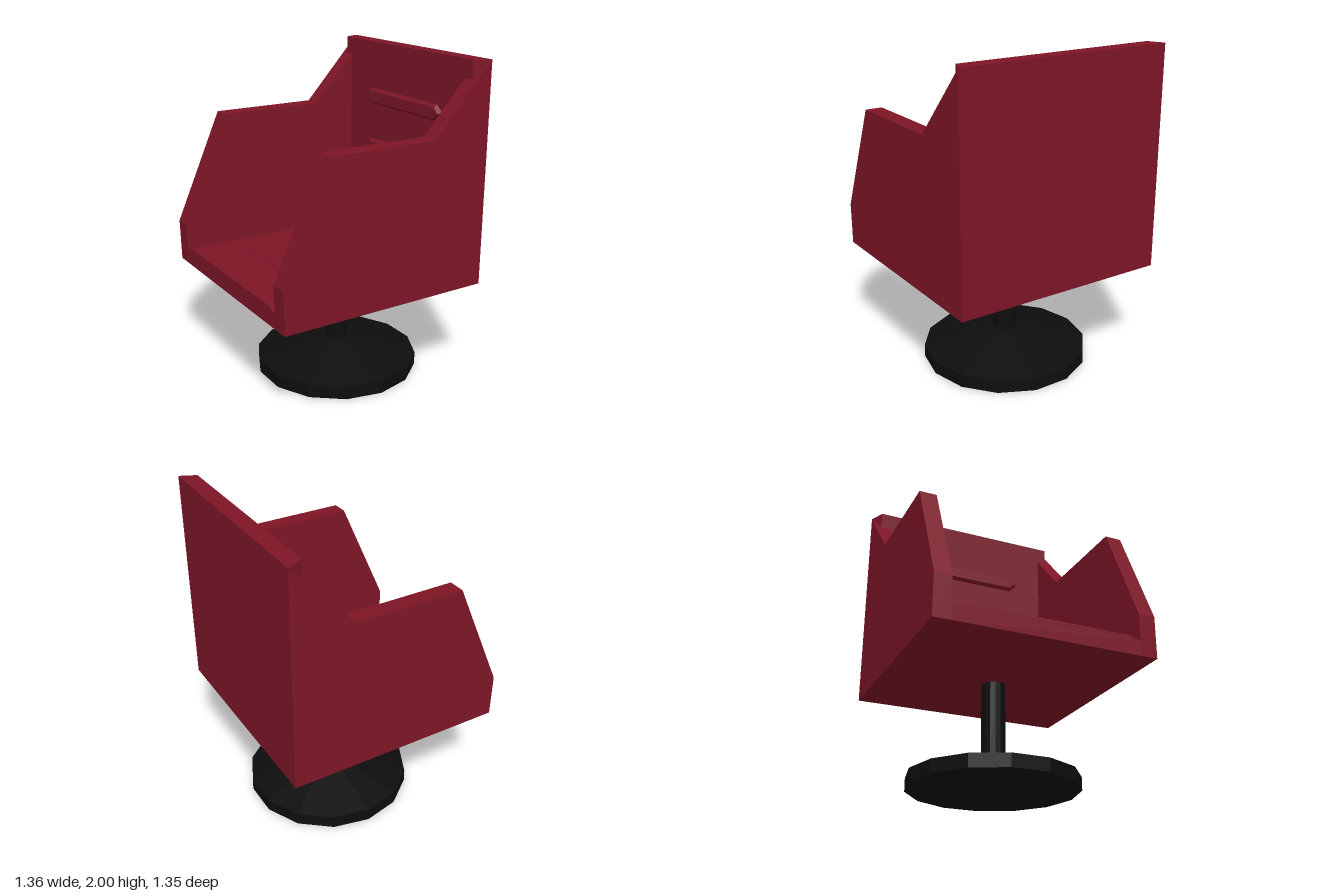
import * as THREE from 'three';

const red = new THREE.MeshStandardMaterial({ color: 0x7d1526, flatShading: true });
const black = new THREE.MeshStandardMaterial({ color: 0x0d0d0d, flatShading: true });

function add(parent, name, geometry, material, x = 0, y = 0, z = 0) {
  const mesh = new THREE.Mesh(geometry, material);
  mesh.name = name;
  mesh.position.set(x, y, z);
  parent.add(mesh);
  return mesh;
}

function shapeOf(points) {
  return new THREE.Shape(points.map(([x, y]) => new THREE.Vector2(x, y)));
}

// Raised rib with pointed ends, long in z, standing up along y
function ribGeometry() {
  const w = 0.033, s = 0.33, tip = 0.365;
  const outline = shapeOf([[w, -s], [w, s], [0, tip], [-w, s], [-w, -s], [0, -tip]]);
  const geometry = new THREE.ExtrudeGeometry(outline, {
    depth: 0.002, bevelEnabled: true, bevelSegments: 1, bevelSize: 0.018, bevelThickness: 0.022,
  });
  return geometry.rotateX(-Math.PI / 2);
}

export function createModel() {
  const chair = new THREE.Group();
  chair.name = 'swivelArmchair';

  // Side walls with sloped arm profile
  const wallShape = shapeOf([
    [-0.675, 0.65], [0.675, 0.65], [0.675, 2], [0.295, 1.588], [-0.38, 1.588], [-0.68, 0.91],
  ]);
  const wall = new THREE.ExtrudeGeometry(wallShape, { depth: 0.105, bevelEnabled: false });
  add(chair, 'leftWall', wall, red, 0, 0, 0.57);
  add(chair, 'rightWall', wall, red, 0, 0, -0.675);

  // Backrest with mitred ends
  const backShape = shapeOf([[0.575, -0.63], [0.675, -0.675], [0.675, 0.675], [0.575, 0.63]]);
  const back = new THREE.ExtrudeGeometry(backShape, { depth: 1.35, bevelEnabled: false });
  add(chair, 'backrest', back.rotateX(-Math.PI / 2), red, 0, 0.65, 0);

  // Seat slab and cushion, the cushion's top drawn in at the sides and rear
  add(chair, 'seat', new THREE.BoxGeometry(1.25, 0.09, 1.14), red, -0.05, 0.695, 0);
  const cushion = new THREE.BoxGeometry(1.25, 0.025, 1.14);
  const p = cushion.attributes.position;
  for (let i = 0; i < p.count; i++) {
    if (p.getY(i) < 0) continue;
    p.setZ(i, Math.sign(p.getZ(i)) * 0.505);
    if (p.getX(i) > 0) p.setX(i, 0.56);
  }
  add(chair, 'seatCushion', cushion, red, -0.05, 0.7525, 0);

  // Ribs on seat and backrest
  const rib = ribGeometry();
  for (const x of [-0.338, 0.175]) add(chair, 'seatRib', rib, red, x, 0.763, 0);
  for (const y of [0.98, 1.315, 1.65]) {
    add(chair, 'backRib', rib, red, 0.577, y, 0).rotation.z = Math.PI / 2;
  }

  // Pedestal: round foot, shallow cone and post
  const sides = 14, cx = 0.085;
  add(chair, 'foot', new THREE.CylinderGeometry(0.513, 0.513, 0.08, sides), black, cx, 0.04, 0);
  add(chair, 'footCone', new THREE.CylinderGeometry(0.072, 0.513, 0.11, sides, 1, true), black, cx, 0.135, 0);
  add(chair, 'post', new THREE.CylinderGeometry(0.072, 0.072, 0.48, sides), black, cx, 0.42, 0);

  return chair;
}
